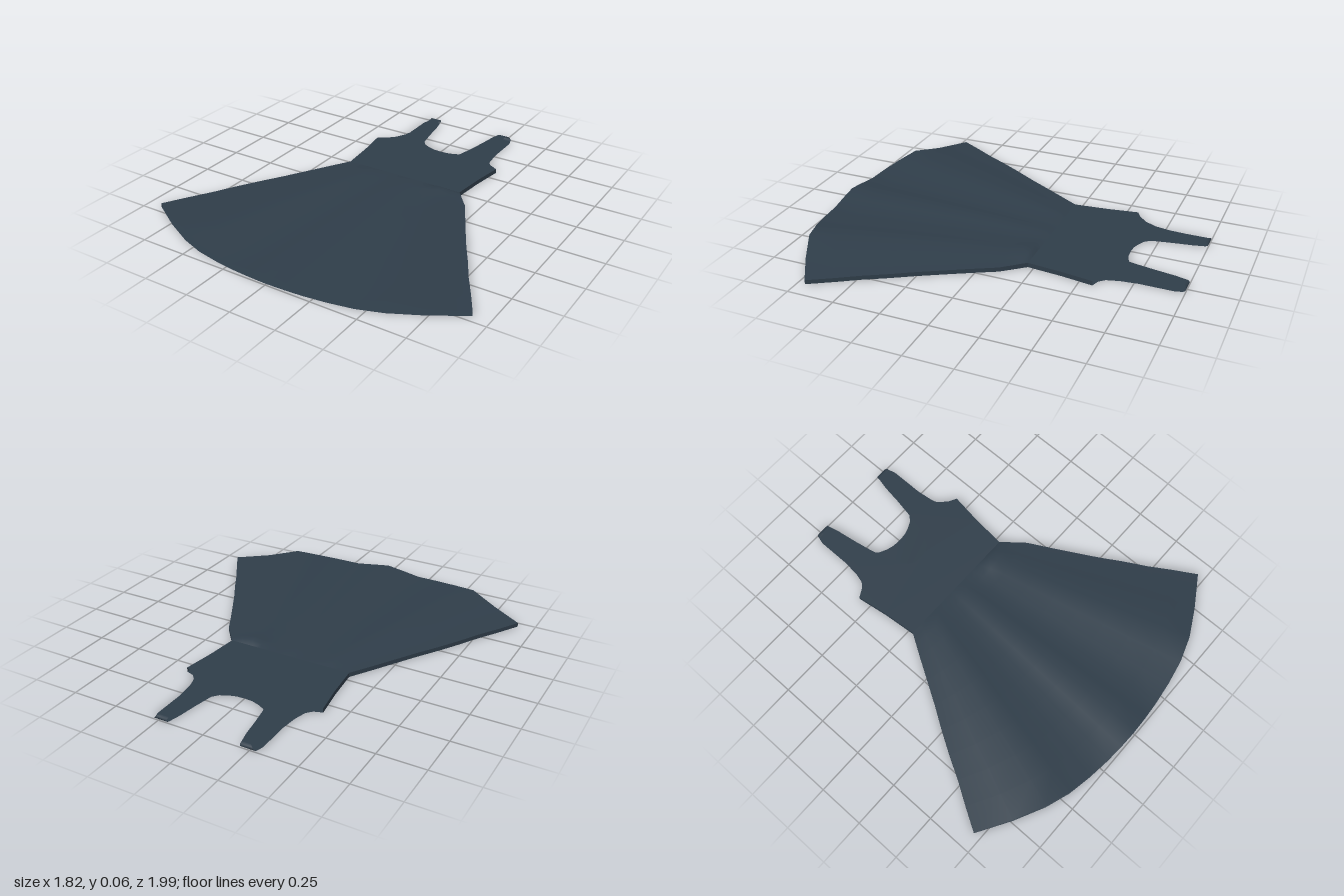
import * as THREE from 'three';

const FRONT_Y = 0.024;
const WAIST_Z = -0.22;

// Hem points from centre to side: x, z, height of the fold
const HEM = [
  [0, 0.99, 0.055], [0.1, 0.987, 0.042], [0.2, 0.98, 0.03], [0.32, 0.965, 0.037],
  [0.45, 0.94, 0.047], [0.58, 0.895, 0.065], [0.74, 0.815, 0.033], [0.912, 0.71, 0.022],
];
// Half widths of the skirt at even steps from waist to hem
const WIDTH_RIGHT = [0.348, 0.42, 0.49, 0.56, 0.635, 0.705, 0.77, 0.843, 0.912];
const WIDTH_LEFT = [0.348, 0.444, 0.506, 0.57, 0.635, 0.705, 0.77, 0.843, 0.912];
const STEPS = [0, 0.025, 0.06, 0.125, 0.25, 0.375, 0.5, 0.625, 0.75, 0.875, 1];

// Bodice edges: side seam, armhole, then neckline
const SIDE = [[0.348, WAIST_Z], [0.365, -0.4], [0.39, -0.57]];
const NECK_SIDE = [[0.2, -0.985], [0.185, -0.92], [0.17, -0.82], [0.15, -0.71]];
const FRONT_EDGE = [...SIDE, [0.345, -0.595], [0.3, -0.64], [0.27, -0.7], [0.255, -0.78], [0.25, -0.87],
  [0.25, -0.985], ...NECK_SIDE, [0.125, -0.61], [0.1, -0.545], [0.075, -0.505], [0.045, -0.485], [0, -0.48]];
const BACK_EDGE = [...SIDE, [0.345, -0.585], [0.318, -0.615], [0.3, -0.68], [0.29, -0.77], [0.29, -0.95],
  [0.28, -0.985], ...NECK_SIDE, [0.125, -0.68], [0.085, -0.66], [0.045, -0.648], [0, -0.645]];

function sample(list, v) {
  const f = v * (list.length - 1);
  const i = Math.min(Math.floor(f), list.length - 2);
  return THREE.MathUtils.lerp(list[i], list[i + 1], f - i);
}

// Smooth surface through rows of points
function loft(rows) {
  const n = rows[0].length;
  const index = [];
  for (let r = 0; r < rows.length - 1; r++) {
    for (let c = 0; c < n - 1; c++) {
      const a = r * n + c, b = a + n;
      index.push(a, b, a + 1, a + 1, b, b + 1);
    }
  }
  const geo = new THREE.BufferGeometry();
  geo.setAttribute('position', new THREE.Float32BufferAttribute(rows.flat(2), 3));
  geo.setIndex(index);
  geo.computeVertexNormals();
  return geo;
}

// Flat panel from a half outline mirrored across the middle
function flatPanel(half, y) {
  const mirrored = half.slice(0, -1).reverse().map(([x, z]) => [-x, z]);
  const pts = [...half, ...mirrored].map(([x, z]) => new THREE.Vector2(x, -z));
  return new THREE.ShapeGeometry(new THREE.Shape(pts)).rotateX(-Math.PI / 2).translate(0, y, 0);
}

// Skirt rows fan out from the waist to the hem
function skirtRows(isFront) {
  const columns = [...HEM.slice(1).reverse().map(([x, z, y]) => [-x, z, y]), ...HEM];
  return STEPS.map((v) => columns.map(([hx, hz, hy]) => {
    const x = (hx / 0.912) * sample(hx < 0 ? WIDTH_RIGHT : WIDTH_LEFT, v);
    const z = THREE.MathUtils.lerp(WAIST_Z, hz, v);
    if (!isFront) return [x, 0, z];
    let y = FRONT_Y + (hy - FRONT_Y) * Math.sqrt(v);
    // Small crease at the left of the waist
    if (v > 0) y += 0.016 * Math.exp(-(((x - 0.26) / 0.07) ** 2) - ((z + 0.19) / 0.05) ** 2);
    return [x, y, z];
  }));
}

export function createModel() {
  const dress = new THREE.Group();
  dress.name = 'dress';
  const fabric = new THREE.MeshStandardMaterial({ color: 0x2f3d49, side: THREE.DoubleSide });
  fabric.name = 'dark slate fabric';

  const add = (name, geo) => {
    const mesh = new THREE.Mesh(geo, fabric);
    mesh.name = name;
    dress.add(mesh);
  };

  // Front and back layers
  const front = skirtRows(true);
  const back = skirtRows(false);
  add('skirtFront', loft(front));
  add('skirtBack', loft(back));
  add('bodiceFront', flatPanel(FRONT_EDGE, FRONT_Y));
  add('bodiceBack', flatPanel(BACK_EDGE, 0));

  for (const s of [-1, 1]) {
    const label = s > 0 ? 'left' : 'right';
    const end = s > 0 ? front[0].length - 1 : 0;

    // Side seams joining the two layers
    add(label + 'SkirtSeam', loft([front.map((r) => r[end]), back.map((r) => r[end])]));
    add(label + 'BodiceSeam', loft([FRONT_Y, 0].map((y) => SIDE.map(([x, z]) => [s * x, y, z]))));

    // Strap folded over the shoulder
    const fold = [[0.25, FRONT_Y, -0.985], [0.262, 0.02, -0.996], [0.27, 0.012, -1],
      [0.278, 0.004, -0.996], [0.28, 0, -0.985]];
    add(label + 'ShoulderFold', loft(fold.map(([x, y, z]) => [[s * 0.2, y, z], [s * x, y, z]])));
  }
  return dress;
}
